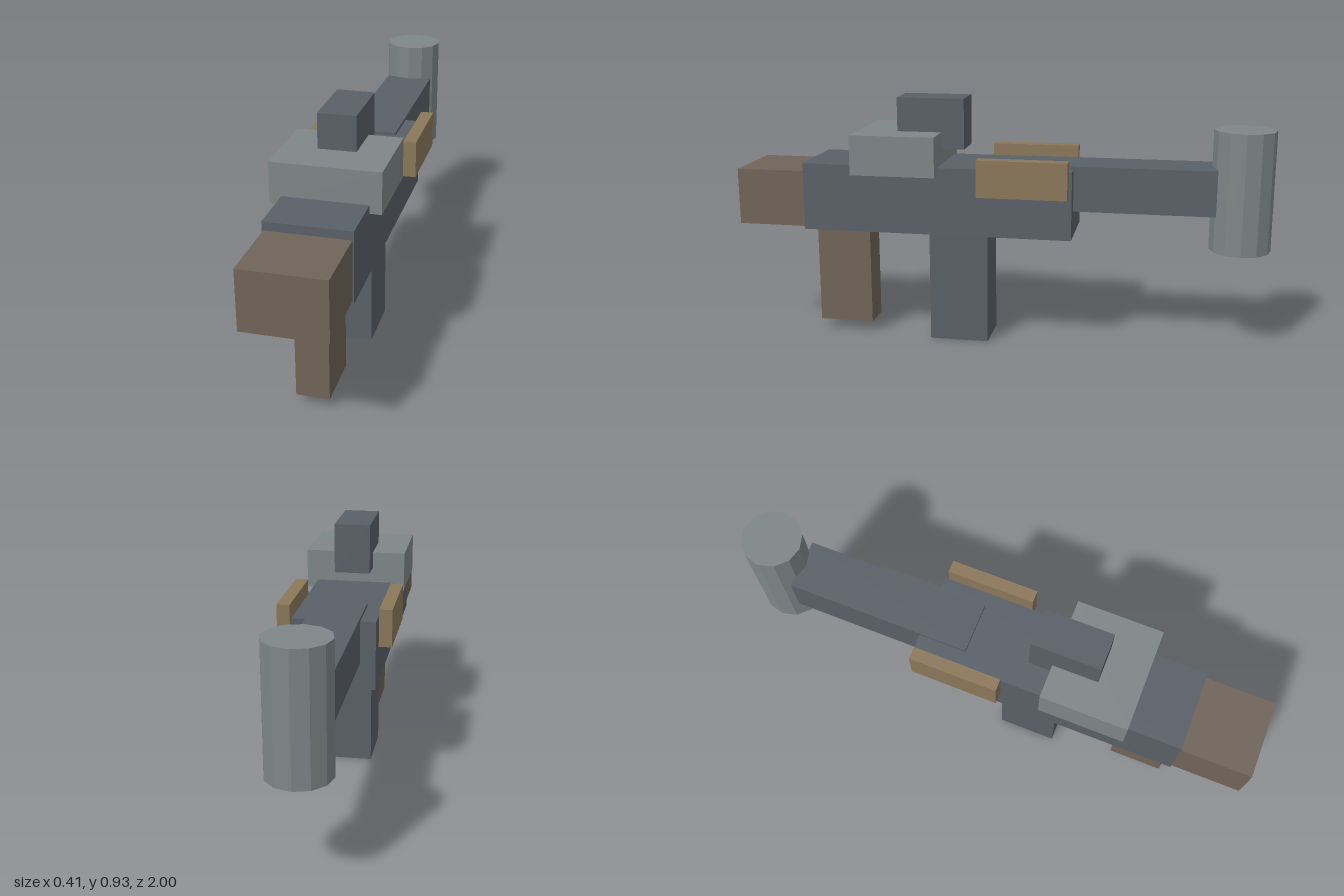
import * as THREE from 'three';

export function createModel() {
  const model = new THREE.Group();
  model.name = 'blaster';

  const paint = (name, color) => {
    const m = new THREE.MeshStandardMaterial({ color, flatShading: true });
    m.name = name;
    return m;
  };
  const darkSteel = paint('darkSteel', 0x5a6068);
  const paleSteel = paint('paleSteel', 0x7e8687);
  const brown = paint('brown', 0x706458);
  const tan = paint('tan', 0x8b775a);

  // Box given by its limits on each axis
  const block = (name, material, [x0, x1], [y0, y1], [z0, z1]) => {
    const mesh = new THREE.Mesh(new THREE.BoxGeometry(x1 - x0, y1 - y0, z1 - z0), material);
    mesh.position.set((x0 + x1) / 2, (y0 + y1) / 2, (z0 + z1) / 2);
    mesh.name = name;
    model.add(mesh);
  };

  // Main body, stock and barrel
  block('body', darkSteel, [-0.15, 0.15], [0.432, 0.686], [-0.28, 0.738]);
  block('stock', brown, [-0.145, 0.145], [0.442, 0.655], [0.72, 1]);
  block('barrel', darkSteel, [-0.094, 0.094], [0.53, 0.698], [-0.795, -0.1]);

  // Raised deck with the sight on top
  block('deck', paleSteel, [-0.192, 0.192], [0.656, 0.805], [0.219, 0.539]);
  block('sight', darkSteel, [-0.068, 0.068], [0.743, 0.932], [0.133, 0.388]);

  // Magazine and grip below
  block('magazine', darkSteel, [-0.091, 0.091], [0, 0.445], [0.042, 0.266]);
  block('grip', brown, [-0.059, 0.059], [0.04, 0.414], [0.511, 0.721]);

  // Side plates
  block('leftPlate', tan, [0.159, 0.206], [0.593, 0.73], [-0.27, 0.062]);
  block('rightPlate', tan, [-0.206, -0.159], [0.593, 0.73], [-0.27, 0.062]);

  // Upright drum at the muzzle
  const drum = new THREE.Mesh(new THREE.CylinderGeometry(0.112, 0.112, 0.447, 12), paleSteel);
  drum.position.set(0, 0.612, -0.888);
  drum.name = 'muzzleDrum';
  model.add(drum);

  return model;
}
